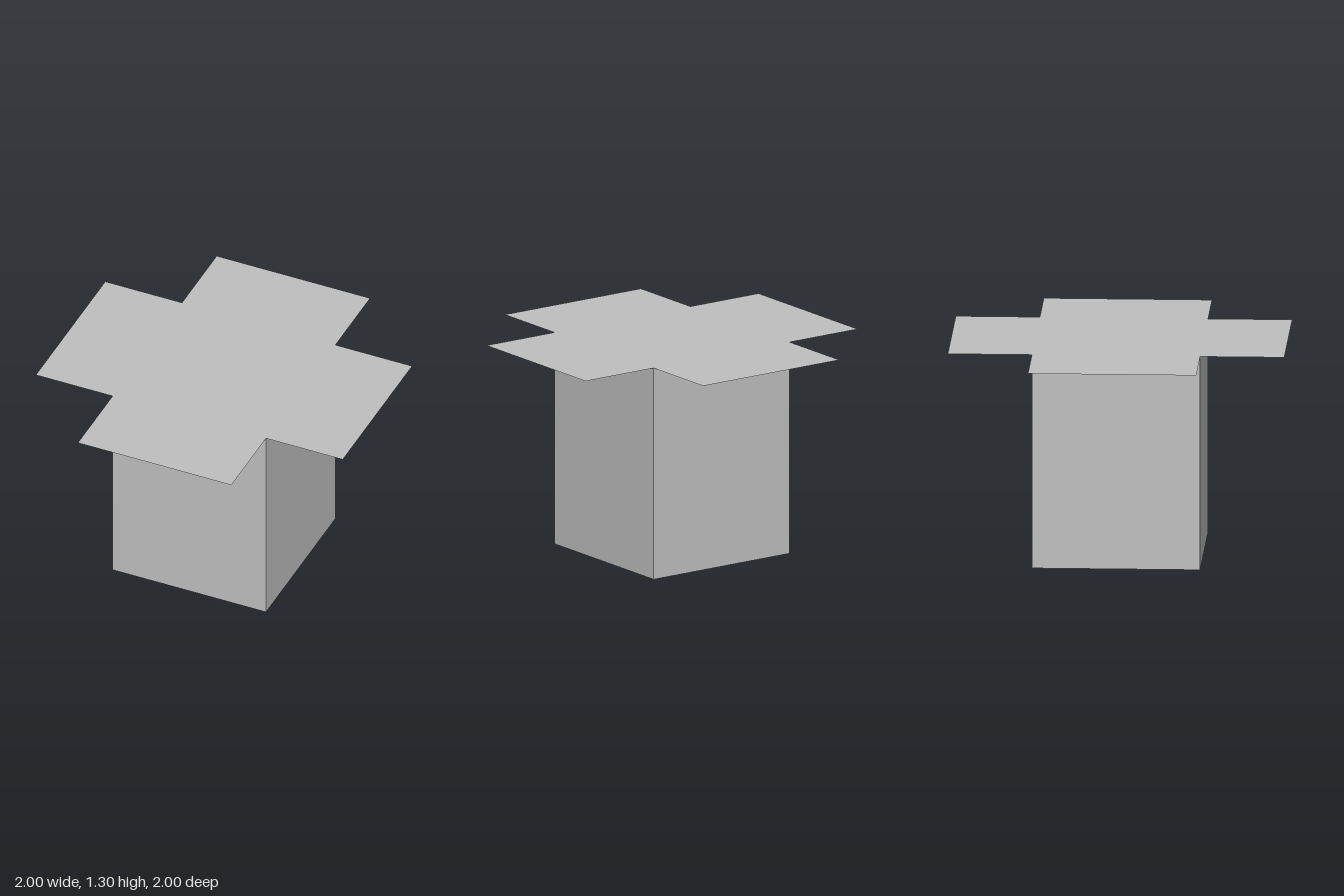
import * as THREE from 'three';

const HEIGHT = 1.3;  // wall height
const WIDTH = 1;     // box width and depth
const FLAP = 0.5;    // how far each flap reaches out

export function createModel() {
  const model = new THREE.Group();
  model.name = 'flappedBox';
  const grey = new THREE.MeshStandardMaterial({ color: 0xc0c0c0, side: THREE.DoubleSide });
  grey.name = 'grey';

  // A horizontal sheet facing up, at the top of the walls
  const addSheet = (name, parent, w, d, z) => {
    const sheet = new THREE.Mesh(new THREE.PlaneGeometry(w, d).rotateX(-Math.PI / 2), grey);
    sheet.name = name;
    sheet.position.set(0, HEIGHT, z);
    parent.add(sheet);
  };

  // Closed top panel; the underside of the box stays open
  addSheet('topPanel', model, WIDTH, WIDTH, 0);

  // Four sides, each a wall with a flap folded straight out
  ['front', 'left', 'back', 'right'].forEach((label, i) => {
    const side = new THREE.Group();
    side.name = label + 'Side';
    side.rotation.y = i * Math.PI / 2;

    const wall = new THREE.Mesh(new THREE.PlaneGeometry(WIDTH, HEIGHT), grey);
    wall.name = label + 'Wall';
    wall.position.set(0, HEIGHT / 2, WIDTH / 2);
    side.add(wall);

    addSheet(label + 'Flap', side, WIDTH, FLAP, WIDTH / 2 + FLAP / 2);
    model.add(side);
  });

  return model;
}
